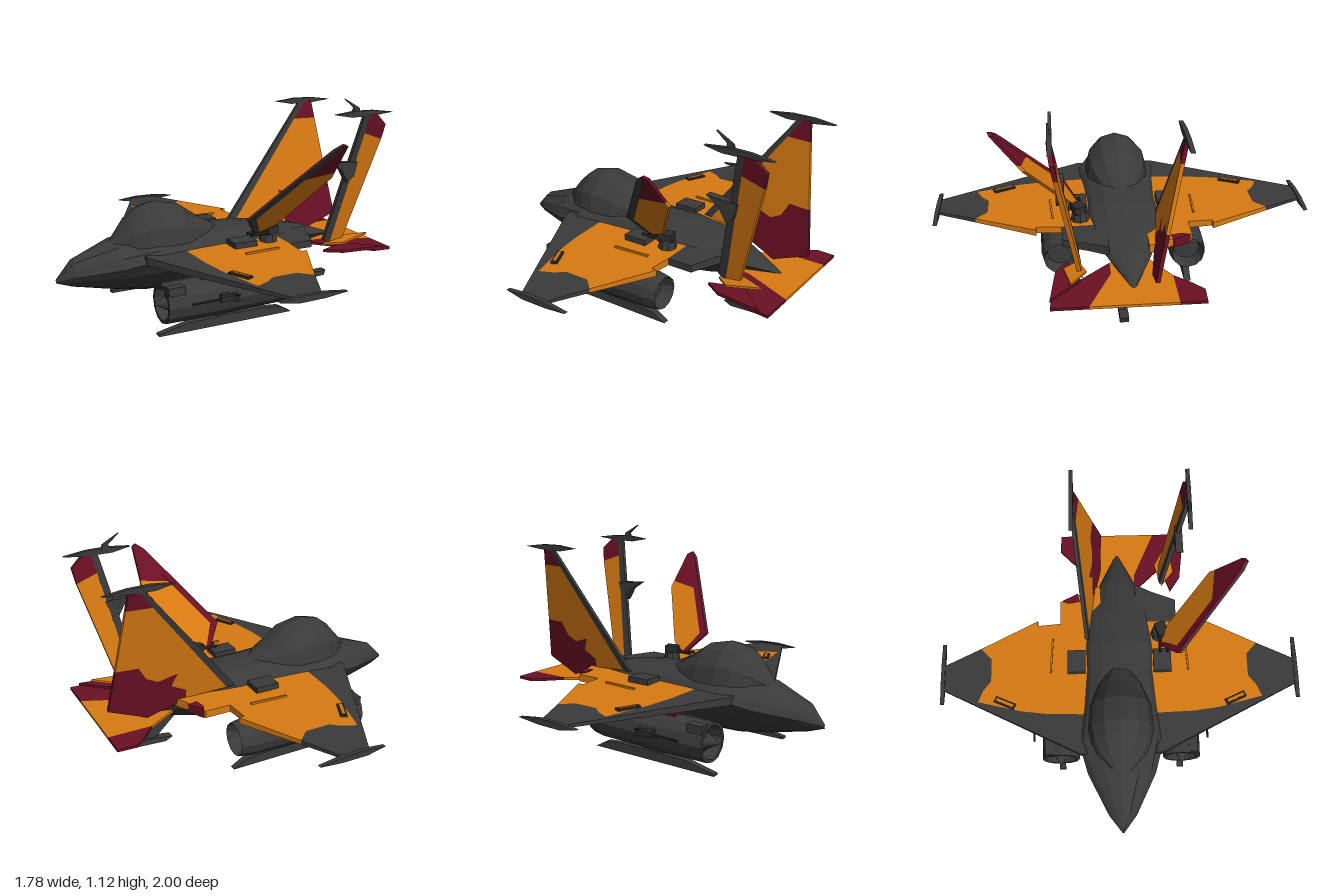
import * as THREE from 'three';

const mat = (name, color) => Object.assign(new THREE.MeshStandardMaterial({ color }), { name });
const hullGrey = mat('hullGrey', 0x3a3a3a);
const orange = mat('orange', 0xd87a12);
const crimson = mat('crimson', 0x6a1024);
const darkMetal = mat('darkMetal', 0x2c2c2c);

// faceted mesh
function add(parent, name, geo, material, pos = [0, 0, 0], rot = [0, 0, 0]) {
  const g = geo.index ? geo.toNonIndexed() : geo;
  g.computeVertexNormals();
  const m = new THREE.Mesh(g, material);
  m.name = name;
  m.position.set(...pos);
  m.rotation.set(...rot);
  parent.add(m);
  return m;
}

// skin through rings that run along +x (ring order: top, +z, bottom, -z)
function loft(rings) {
  const n = rings[0].length, idx = [];
  for (let i = 0; i < rings.length - 1; i++)
    for (let j = 0; j < n; j++) {
      const a = i * n + j, b = i * n + (j + 1) % n;
      idx.push(a, b, a + n, b, b + n, a + n);
    }
  const g = new THREE.BufferGeometry();
  g.setAttribute('position', new THREE.Float32BufferAttribute(rings.flat(2), 3));
  g.setIndex(idx);
  return g;
}

// outline extruded to unit depth, each vertex (u, v, t in -0.5..0.5) moved by a rule
function slab(pts, rule) {
  const shape = new THREE.Shape(pts.map(p => new THREE.Vector2(...p)));
  const g = new THREE.ExtrudeGeometry(shape, { depth: 1, bevelEnabled: false });
  const p = g.attributes.position;
  for (let i = 0; i < p.count; i++) p.setXYZ(i, ...rule(p.getX(i), p.getY(i), p.getZ(i) - 0.5));
  return g;
}
const upright = (z, th) => (u, v, t) => [u, v, z + t * th];
const flat = (y, th) => (u, v, t) => [u, y - t * th, v];
const box = (x, y, z) => new THREE.BoxGeometry(x, y, z);

// slender fairing at the end of a wing or fin
function tipBlade(parent, name, x, y, z) {
  const pts = [[-0.18, 0.005], [-0.06, 0.018], [0.06, 0.016], [0.18, 0], [0.06, -0.012], [-0.08, -0.014]];
  add(parent, name, slab(pts.map(([a, b]) => [x + a, y + b]), upright(z, 0.022)), hullGrey);
}

// thin barrel with a small body and crossed vanes
function gun(parent, name, x, y, z) {
  const g = new THREE.Group();
  g.name = name;
  g.position.set(x, y, z);
  add(g, 'gunBody', box(0.1, 0.025, 0.025), darkMetal, [0.06, 0, 0]);
  add(g, 'barrel', new THREE.CylinderGeometry(0.006, 0.006, 0.2, 6), darkMetal, [-0.04, 0, 0], [0, 0, Math.PI / 2]);
  for (const r of [Math.PI / 4, -Math.PI / 4])
    add(g, 'vane', box(0.03, 0.05, 0.006), darkMetal, [0.1, 0, 0], [r, 0, 0]);
  parent.add(g);
}

export function createModel() {
  const model = new THREE.Group();
  model.name = 'spacecraft';

  // fuselage: x, half width, top, edge height, keel
  const hull = [
    [-0.89, 0.004, 0.25, 0.24, 0.232], [-0.8, 0.075, 0.345, 0.27, 0.2], [-0.58, 0.185, 0.42, 0.31, 0.15],
    [-0.4, 0.235, 0.44, 0.35, 0.12], [-0.2, 0.205, 0.44, 0.36, 0.115], [0, 0.19, 0.435, 0.36, 0.12],
    [0.15, 0.195, 0.43, 0.36, 0.13], [0.35, 0.18, 0.4, 0.35, 0.165], [0.55, 0.1, 0.36, 0.32, 0.22],
    [0.76, 0.004, 0.283, 0.28, 0.272],
  ].map(([x, w, t, e, k]) => {
    const half = [[0.5 * w, t - (t - e) * 0.15], [0.85 * w, t - (t - e) * 0.55], [w, e],
      [0.8 * w, e - (e - k) * 0.35], [0.25 * w, e - (e - k) * 0.88]];
    return [[x, t, 0], ...half.map(([z, y]) => [x, y, z]), [x, k, 0],
      ...half.reverse().map(([z, y]) => [x, y, -z])];
  });
  add(model, 'fuselage', loft(hull), hullGrey);

  // canopy: x, half width, top
  const dome = [[-0.6, 0.04, 0.41], [-0.5, 0.13, 0.53], [-0.43, 0.165, 0.583], [-0.35, 0.18, 0.6],
    [-0.22, 0.17, 0.572], [-0.1, 0.125, 0.49], [0.02, 0.04, 0.42]].map(([x, w, t]) => {
    const ring = [];
    for (let i = 0; i < 12; i++) {
      const a = i / 12 * Math.PI * 2;
      ring.push([x, 0.39 + (t - 0.39) * Math.max(Math.cos(a), 0), w * Math.sin(a)]);
    }
    return ring;
  });
  add(model, 'canopy', loft(dome), hullGrey);

  const paintLine = [[-0.26, 0.12], [-0.25, 0.4], [-0.23, 0.55], [-0.17, 0.79], [-0.1, 0.76],
    [-0.05, 0.72], [0.08, 0.72], [0.145, 0.78]];
  const wingRule = (u, v, t) => [u, 0.35 - t * (0.05 - 0.036 * Math.abs(v)), v];

  for (const s of [1, -1]) {
    const side = s > 0 ? 'left' : 'right';
    const wing = new THREE.Group();
    wing.name = side + 'Wing';
    model.add(wing);
    const m = pts => pts.map(([x, z]) => [x, z * s]);

    // wing panels and tip
    add(wing, 'wingEdge', slab(m([[-0.48, 0.12], [-0.48, 0.22], [-0.09, 1], [0.04, 1],
      ...[...paintLine].reverse()]), wingRule), hullGrey);
    add(wing, 'wingPanel', slab(m([...paintLine, [0.305, 0.46], [0.275, 0.46], [0.285, 0.33], [0.285, 0.12]]), wingRule), orange);
    add(wing, 'innerFlap', slab(m([[0.285, 0.1], [0.285, 0.33], [0.42, 0.33], [0.47, 0.2], [0.52, 0.1]]), wingRule), s > 0 ? hullGrey : orange);
    if (s < 0) add(wing, 'flapTip', slab(m([[0.425, 0.32], [0.47, 0.23], [0.42, 0.22], [0.41, 0.28]]), flat(0.35, 0.048)), crimson);
    tipBlade(wing, 'wingTip', 0, 0.348, 0.99 * s);
    add(wing, 'wingVent', box(0.12, 0.022, 0.035), darkMetal, [-0.18, 0.362, 0.64 * s], [0, -1.15 * s, 0]);
    add(wing, 'ventSlot', box(0.1, 0.004, 0.015), orange, [-0.18, 0.374, 0.64 * s], [0, -1.15 * s, 0]);
    add(wing, 'flapRail', box(0.2, 0.012, 0.01), orange, [0.09, 0.372, 0.38 * s], [0, 0.06 * s, 0]);
    add(wing, 'rootBlock', box(0.13, 0.06, 0.1), hullGrey, [0.045, 0.37, 0.24 * s]);

    // engine pod with nozzle, intake spike, pylons, gun and landing skid
    const pod = new THREE.Group();
    pod.name = side + 'Engine';
    model.add(pod);
    const profile = [[0, -0.2], [0.07, -0.2], [0.088, -0.27], [0.1, -0.2], [0.107, 0.2], [0.104, 0.46],
      [0.088, 0.46], [0.08, 0.39], [0.05, 0.41], [0, 0.5]].map(p => new THREE.Vector2(...p));
    add(pod, 'enginePod', new THREE.LatheGeometry(profile, 12), hullGrey, [0, 0.168, 0.34 * s], [0, 0, Math.PI / 2]);
    add(pod, 'intakeBlock', box(0.09, 0.06, 0.05), hullGrey, [-0.41, 0.24, 0.4 * s]);
    add(pod, 'frontPylon', box(0.09, 0.08, 0.06), crimson, [-0.21, 0.3, 0.34 * s]);
    add(pod, 'rearPylon', box(0.15, 0.08, 0.06), orange, [0.03, 0.3, 0.34 * s]);
    add(pod, 'skid', slab([[-0.48, 0], [0.28, 0], [0.21, 0.04], [0.1, 0.05], [-0.1, 0.05], [-0.32, 0.045], [-0.48, 0.012]],
      upright(0.34 * s, 0.035)), hullGrey);
    add(pod, 'skidMount', box(0.12, 0.04, 0.03), hullGrey, [-0.1, 0.06, 0.34 * s]);
    gun(pod, 'sideGun', -0.22, 0.197, 0.49 * s);
    add(pod, 'gunMount', box(0.05, 0.015, 0.07), darkMetal, [-0.16, 0.197, 0.455 * s]);
  }

  // tall right fin
  const rightFin = new THREE.Group();
  rightFin.name = 'rightFin';
  model.add(rightFin);
  const finA = (x, y, t) => [x, y, -0.1326 + 0.1159 * x - 0.178 * y + t * 0.02];
  const cut = [[0.45, 0.42], [0.53, 0.46], [0.5, 0.53], [0.6, 0.5], [0.66, 0.53], [0.7, 0.6], [0.814, 0.6]];
  add(rightFin, 'finEdge', slab([[0.18, 0.39], [0.68, 1.03], [0.71, 1.03], [0.23, 0.39]], finA), hullGrey);
  add(rightFin, 'finPanel', slab([[0.23, 0.39], [0.635, 0.93], [0.765, 0.93], ...[...cut].reverse(), [0.45, 0.37]], finA), orange);
  add(rightFin, 'finTop', slab([[0.635, 0.93], [0.71, 1.03], [0.75, 1.03], [0.765, 0.93]], finA), crimson);
  add(rightFin, 'finBase', slab([...cut, [0.85, 0.37], [0.65, 0.29], [0.45, 0.36]], finA), crimson);
  tipBlade(rightFin, 'finTip', 0.7, 1.03, -0.235);

  // narrow left fin
  const leftFin = new THREE.Group();
  leftFin.name = 'leftFin';
  model.add(leftFin);
  const finB = (x, y, t) => [x, y, 0.25 + (y - 0.3) * 0.175 + t * 0.022];
  add(leftFin, 'finEdge', slab([[0.54, 0.34], [0.69, 1.03], [0.725, 1.03], [0.58, 0.31]], finB), hullGrey);
  add(leftFin, 'finPanel', slab([[0.58, 0.31], [0.705, 0.93], [0.82, 0.89], [0.65, 0.29]], finB), orange);
  add(leftFin, 'finTop', slab([[0.705, 0.93], [0.725, 1.03], [0.77, 1.03], [0.835, 0.97], [0.82, 0.89]], finB), crimson);
  add(leftFin, 'finSpike', slab([[0.51, 0.785], [0.68, 0.775], [0.66, 0.7], [0.62, 0.67], [0.58, 0.74]], upright(0.335, 0.04)), hullGrey);
  tipBlade(leftFin, 'finTip', 0.69, 1.035, 0.375);
  add(leftFin, 'antenna', slab([[0.57, 1.12], [0.66, 1.07], [0.67, 1.04], [0.62, 1.045], [0.63, 1.07]], upright(0.37, 0.015)), hullGrey);
  add(leftFin, 'finRoot', slab([[0.51, 0.31], [0.68, 0.25], [0.84, 0.4], [0.6, 0.37]], flat(0.29, 0.015)), crimson);
  add(leftFin, 'rootPanel', slab([[0.54, 0.26], [0.66, 0.22], [0.8, 0.3], [0.62, 0.33]], (u, v, t) => [u, 0.31 + (u - 0.54) * 0.15 - t * 0.012, v]), orange);

  // leaning left fin, outer and inner faces painted differently at the front edge
  const sideFin = new THREE.Group();
  sideFin.name = 'leaningFin';
  model.add(sideFin);
  const lean = (off, th) => (x, y, t) => [x, y, 0.24 + (y - 0.42) * 0.795 + off + t * th];
  const edge = [[0.03, 0.53], [0.33, 0.92], [0.37, 0.948], [0.355, 0.9], [0.075, 0.53], [0.14, 0.43], [0.12, 0.42]];
  add(sideFin, 'outerEdge', slab(edge, lean(0.006, 0.012)), hullGrey);
  add(sideFin, 'innerEdge', slab(edge, lean(-0.006, 0.012)), crimson);
  add(sideFin, 'finPanel', slab([[0.075, 0.53], [0.245, 0.755], [0.405, 0.78], [0.41, 0.75], [0.22, 0.47], [0.14, 0.43]], lean(0, 0.022)), orange);
  add(sideFin, 'finTop', slab([[0.245, 0.755], [0.355, 0.9], [0.37, 0.948], [0.395, 0.935], [0.405, 0.78]], lean(0, 0.022)), crimson);

  // tailplane
  const tail = new THREE.Group();
  tail.name = 'tailplane';
  model.add(tail);
  add(tail, 'tailPanel', slab([[0.5, -0.1], [0.66, -0.2], [0.89, -0.2], [0.89, 0.22], [0.62, 0.1], [0.52, 0.1]], flat(0.278, 0.014)), orange);
  add(tail, 'tailLeftTip', slab([[0.52, 0.1], [0.62, 0.1], [0.89, 0.22], [0.89, 0.4], [0.79, 0.39]], flat(0.278, 0.014)), crimson);
  add(tail, 'tailRightTip', slab([[0.66, -0.2], [0.72, -0.27], [0.79, -0.335], [0.89, -0.33], [0.89, -0.2]], flat(0.278, 0.014)), crimson);

  // rear landing strut and foot
  add(model, 'rearStrut', slab([[0.39, 0.22], [0.5, 0.22], [0.63, 0.06], [0.56, 0.06]], upright(0.04, 0.02)), hullGrey);
  add(model, 'rearFoot', slab([[0.46, 0.055], [0.5, 0.035], [0.69, 0.045], [0.7, 0.075], [0.56, 0.07]], upright(0.04, 0.045)), hullGrey);

  // deck turret
  const turret = new THREE.Group();
  turret.name = 'turret';
  model.add(turret);
  add(turret, 'turretBase', new THREE.CylinderGeometry(0.04, 0.05, 0.05, 8), hullGrey, [0.21, 0.395, 0.23]);
  add(turret, 'turretHead', box(0.08, 0.04, 0.06), darkMetal, [0.21, 0.435, 0.24], [0, 0.3, 0]);
  for (const dz of [-0.02, 0.02])
    add(turret, 'turretBarrel', new THREE.CylinderGeometry(0.008, 0.008, 0.12, 6), darkMetal, [0.14, 0.425, 0.25 + dz], [0, 0, Math.PI / 2]);

  return model;
}
